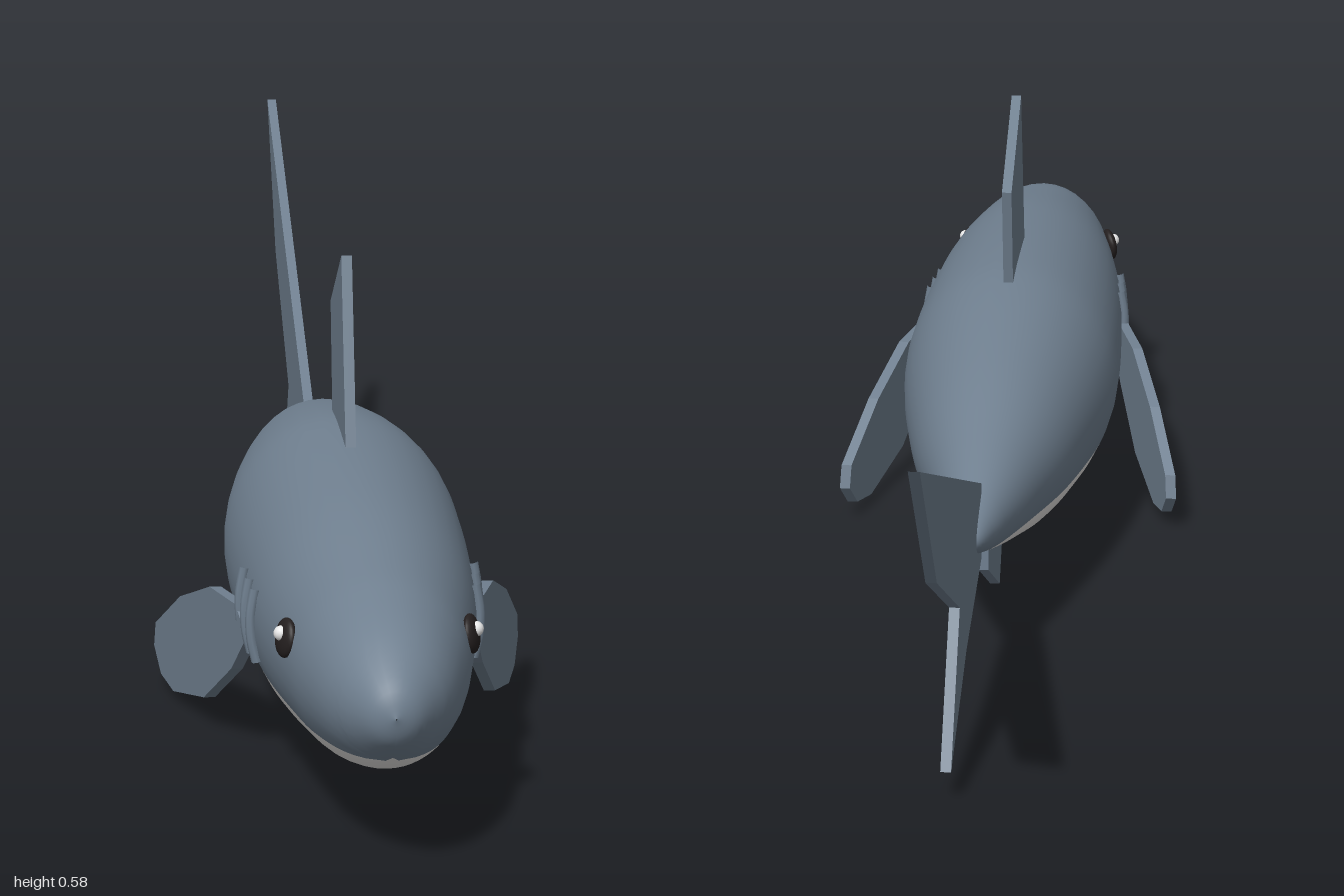
import * as THREE from 'three';

const AXIS_Y = 0.198, HALF_W = 0.147, HALF_H = 0.162;

// Body radius factor along z, nose to tail
const profile = new THREE.SplineCurve([
  [1, 0.005], [0.985, 0.22], [0.93, 0.47], [0.86, 0.63], [0.78, 0.74], [0.6, 0.91], [0.35, 1],
  [0.2, 0.96], [0, 0.74], [-0.15, 0.48], [-0.25, 0.28], [-0.32, 0.12], [-0.34, 0.005],
].map(([z, r]) => new THREE.Vector2(z, r)));

// Body: elliptical rings, each divided at the belly line so both colours share smooth normals
function bodyGeometry() {
  const rings = profile.getPoints(72), upper = 24, lower = 14, n = upper + lower;
  const pos = [], back = [], belly = [];
  rings.forEach(({ x: z, y: r }, i) => {
    const lineY = 0.135 + 0.028 * THREE.MathUtils.clamp((0.2 - z) / 0.4, 0, 1);
    const s = Math.asin(THREE.MathUtils.clamp((lineY - AXIS_Y) / (HALF_H * r), -1, 1));
    for (let j = 0; j < n; j++) {
      const a = j < upper
        ? s + (Math.PI - 2 * s) * j / upper
        : Math.PI - s + (Math.PI + 2 * s) * (j - upper) / lower;
      pos.push(HALF_W * r * Math.cos(a), AXIS_Y + HALF_H * r * Math.sin(a), z);
      if (i === rings.length - 1) continue;
      const k = (j + 1) % n, p = i * n + j, q = i * n + k;
      (j < upper ? back : belly).push(p, p + n, q, q, p + n, q + n);
    }
  });
  const g = new THREE.BufferGeometry();
  g.setAttribute('position', new THREE.Float32BufferAttribute(pos, 3));
  g.setIndex([...back, ...belly]);
  g.addGroup(0, back.length, 0);
  g.addGroup(back.length, belly.length, 1);
  g.computeVertexNormals();
  return g;
}

// Flat fin from a (z, y) outline; xAt leans the plate sideways along z
function finGeometry(outline, thickness, xAt = () => 0) {
  const shape = new THREE.Shape(outline.map(([z, y]) => new THREE.Vector2(z, y)));
  const g = new THREE.ExtrudeGeometry(shape, { depth: thickness, bevelEnabled: false });
  g.translate(0, 0, -thickness / 2).rotateY(-Math.PI / 2);
  const p = g.attributes.position;
  for (let i = 0; i < p.count; i++) p.setX(i, p.getX(i) + xAt(p.getZ(i)));
  g.computeVertexNormals();
  return g;
}

export function createModel() {
  const slate = new THREE.MeshStandardMaterial({ name: 'slate skin', color: 0x708090 });
  const pale = new THREE.MeshStandardMaterial({ name: 'pale belly', color: 0xf0eeec });
  const dark = new THREE.MeshStandardMaterial({ name: 'dark eye', color: 0x241f1f });
  const white = new THREE.MeshStandardMaterial({ name: 'white glint', color: 0xffffff });

  const model = new THREE.Group();
  model.name = 'shark';
  const add = (name, geometry, material) => {
    const mesh = new THREE.Mesh(geometry, material);
    mesh.name = name;
    model.add(mesh);
    return mesh;
  };

  add('body', bodyGeometry(), [slate, pale]);

  // Fins on the centre line
  add('dorsalFin', finGeometry(
    [[0.43, 0.32], [0.42, 0.355], [0.355, 0.582], [0.195, 0.492], [0.225, 0.34], [0.23, 0.31]], 0.013), slate);
  add('tailFin', finGeometry(
    [[-0.26, 0.25], [-1, 0.552], [-0.825, 0.35], [-0.555, 0.205], [-0.67, 0.042], [-0.47, 0.113], [-0.26, 0.15]],
    0.013), slate);
  add('analFin', finGeometry(
    [[0.08, 0.09], [0.01, 0], [-0.16, 0.09], [-0.16, 0.15], [0, 0.15]], 0.013), slate);

  const pectoral = [[0.53, 0.195], [0.435, 0.19], [0.32, 0.145], [0.22, 0.082], [0.213, 0.05],
    [0.24, 0.02], [0.29, 0.012], [0.41, 0.041], [0.515, 0.11], [0.57, 0.165]];

  for (const [side, label] of [[1, 'left'], [-1, 'right']]) {
    // Pectoral fin, swept outwards to the rear
    add(label + 'PectoralFin',
      finGeometry(pectoral, 0.014, z => side * (0.144 + (0.52 - z) * 0.27)), slate);

    // Gill ridges following the body section
    [[0.62, 0.9], [0.577, 0.925], [0.533, 0.95]].forEach(([z, r], i) => {
      const points = [-0.33, -0.15, 0.05, 0.29].map(a => new THREE.Vector3(
        side * (HALF_W * r * Math.cos(a) + 0.003), AXIS_Y + HALF_H * r * Math.sin(a), z));
      add(label + 'Gill' + (i + 1),
        new THREE.TubeGeometry(new THREE.CatmullRomCurve3(points), 10, 0.0065, 8), slate);
    });

    // Eye with a small glint
    const eye = add(label + 'Eye', new THREE.SphereGeometry(0.023, 20, 14), dark);
    eye.scale.x = 0.4;
    eye.position.set(side * 0.106, 0.23, 0.788);
    eye.rotation.set(0, -side * 0.3, side * 0.17);
    const glint = add(label + 'EyeGlint', new THREE.SphereGeometry(0.009, 14, 10), white);
    glint.position.set(side * 0.111, 0.236, 0.79);
  }
  return model;
}
